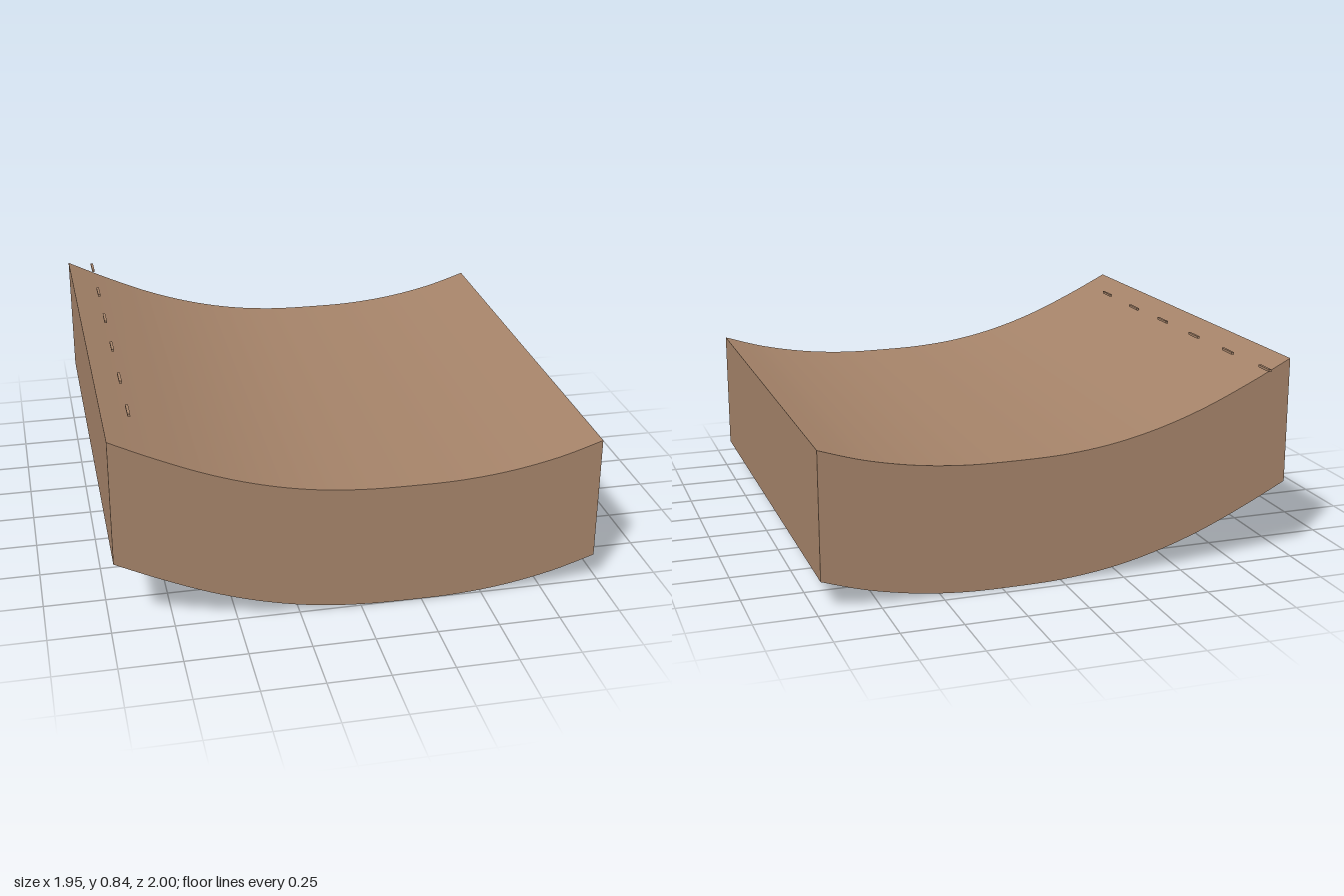
import * as THREE from 'three';
import { ParametricGeometry } from 'three/addons/geometries/ParametricGeometry.js';

const HALF = 0.977, BACK = -0.955, FRONT = 1, DEPTH = 0.52;

// Height profile of the curved sheet, sampled along x
const profile = new THREE.SplineCurve([
  [-0.977, 0.831], [-0.8, 0.744], [-0.6, 0.657], [-0.4, 0.591], [-0.2, 0.547], [0, 0.525],
  [0.2, 0.52], [0.4, 0.523], [0.6, 0.543], [0.8, 0.583], [0.977, 0.638],
].map(([x, y]) => new THREE.Vector2(x, y)));

// Point on the top edge or sheet; the high side rises slightly to the back
function surface(t, z, target) {
  const p = profile.getPoint(t);
  const lift = 0.005 * Math.max(0, -p.x) * (0.02 - z);
  return target.set(p.x, p.y + lift, z);
}

export function createModel() {
  const group = new THREE.Group();
  const clay = new THREE.MeshStandardMaterial({ color: 0xa58369, side: THREE.DoubleSide });
  clay.name = 'warm brown';

  function add(name, geometry) {
    const mesh = new THREE.Mesh(geometry, clay);
    mesh.name = name;
    group.add(mesh);
    return mesh;
  }

  // Curved top sheet
  add('curvedTop', new ParametricGeometry(
    (u, v, p) => surface(u, THREE.MathUtils.lerp(FRONT, BACK, v), p), 60, 8));

  // Walls hanging from the sheet's edges, open underneath: [name, t0, z0, t1, z1, segments]
  for (const [name, t0, z0, t1, z1, segments] of [
    ['frontWall', 0, FRONT, 1, FRONT, 60],
    ['backWall', 1, BACK, 0, BACK, 60],
    ['leftWall', 1, FRONT, 1, BACK, 8],
    ['rightWall', 0, BACK, 0, FRONT, 8],
  ]) {
    add(name, new ParametricGeometry((u, v, p) => {
      surface(THREE.MathUtils.lerp(t0, t1, u), THREE.MathUtils.lerp(z0, z1, u), p);
      p.y -= DEPTH * (1 - v);
    }, segments, 1));
  }

  // Row of small bars floating just above the high edge
  const bar = new THREE.BoxGeometry(0.011, 0.01, 0.09);
  [0.803, 0.8, 0.797, 0.797, 0.792, 0.795].forEach((y, i) => {
    add('edgeBar' + (i + 1), bar).position.set(-0.865, y, -0.955 + i * 0.325);
  });

  return group;
}
